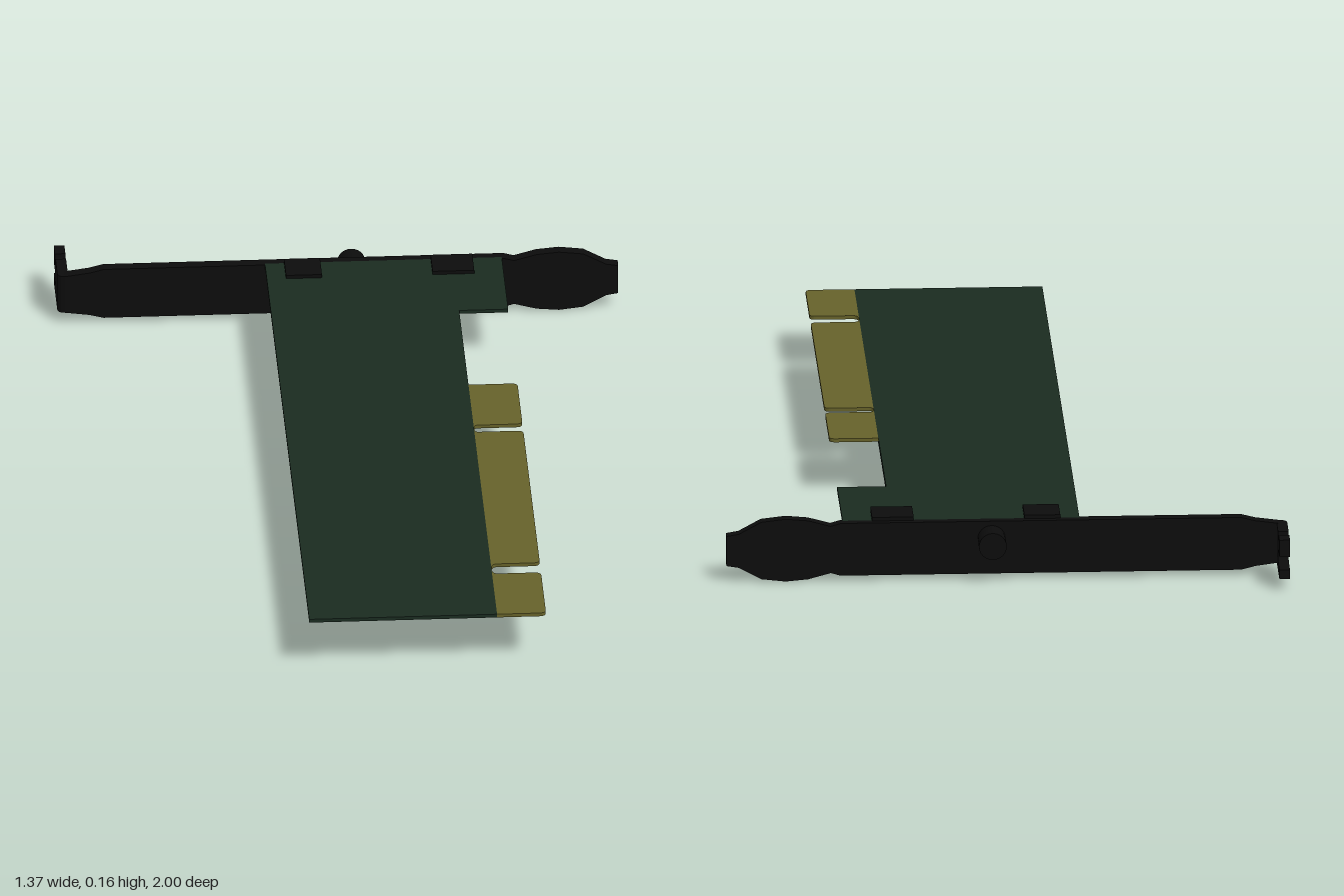
import * as THREE from 'three';

const mat = (color) => new THREE.MeshStandardMaterial({ color });
const black = mat(0x0c0c0c), green = mat(0x1a2b20), gold = mat(0x66622a);

export function createModel() {
  const group = new THREE.Group();

  const add = (name, geometry, material) => {
    const mesh = new THREE.Mesh(geometry, material);
    mesh.name = name;
    group.add(mesh);
    return mesh;
  };

  // Box from its minimum and maximum corners
  const box = (name, material, [x0, y0, z0], [x1, y1, z1]) =>
    add(name, new THREE.BoxGeometry(x1 - x0, y1 - y0, z1 - z0), material)
      .position.set((x0 + x1) / 2, (y0 + y1) / 2, (z0 + z1) / 2);

  // Extruded outline without bevel
  const extrude = (shape, depth) =>
    new THREE.ExtrudeGeometry(shape, { depth, bevelEnabled: false, curveSegments: 6 });
  const polygon = (points) => new THREE.Shape(points.map(([x, y]) => new THREE.Vector2(x, y)));

  // Horizontal sheet: the outline is given as (x, z)
  const sheet = (shape, y0, y1) =>
    extrude(shape, y1 - y0).rotateX(Math.PI / 2).translate(0, y1, 0);

  // Circuit board, wider next to the bracket
  add('circuitBoard', sheet(polygon([
    [-0.18, -0.845], [0.4, -0.845], [0.4, -0.575], [0.28, -0.575], [0.28, 1], [-0.18, 1],
  ]), 0.141, 0.15), green);

  // Thin backing plate under the board
  box('backingPlate', black, [-0.178, 0.135, -0.575], [0.28, 0.141, 0.985]);

  // Edge connector tongues with rounded outer corners
  for (const [z0, z1] of [[-0.19, 0.02], [0.055, 0.74], [0.79, 1]]) {
    const r = 0.016, s = new THREE.Shape();
    s.moveTo(0.28, z0);
    s.lineTo(0.4 - r, z0);
    s.quadraticCurveTo(0.4, z0, 0.4, z0 + r);
    s.lineTo(0.4, z1 - r);
    s.quadraticCurveTo(0.4, z1, 0.4 - r, z1);
    s.lineTo(0.28, z1);
    add('edgeContact', sheet(s, 0.141, 0.15), gold);
  }

  // Rounded roots of the gaps between tongues
  for (const [z0, z1] of [[0.02, 0.055], [0.74, 0.79]]) {
    const r = (z1 - z0) / 2, s = new THREE.Shape();
    s.moveTo(0.28, z0);
    s.lineTo(0.28 + r * 0.6, z0);
    s.quadraticCurveTo(0.28, z0, 0.28, z0 + r);
    s.quadraticCurveTo(0.28, z1, 0.28 + r * 0.6, z1);
    s.lineTo(0.28, z1);
    add('gapFillet', sheet(s, 0.141, 0.15), gold);
  }

  // Mounting bracket: [x, half height] profile mirrored about its centre line
  const profile = [
    [-0.67, 0.05], [-0.61, 0.058], [-0.575, 0.067], [0.405, 0.067], [0.43, 0.06],
    [0.485, 0.075], [0.54, 0.08], [0.6, 0.073], [0.655, 0.043], [0.685, 0.038],
  ];
  const outline = [
    ...profile.map(([x, h]) => [x, 0.083 - h]),
    ...profile.map(([x, h]) => [x, 0.083 + h]).reverse(),
  ];
  add('bracket', extrude(polygon(outline), 0.028).translate(0, 0, -0.866), black);

  // Bend joining bracket and flange, outline in (x, z)
  const bend = new THREE.Shape();
  bend.moveTo(-0.669, -0.838);
  bend.quadraticCurveTo(-0.688, -0.838, -0.688, -0.857);
  bend.lineTo(-0.688, -0.876);
  bend.lineTo(-0.662, -0.876);
  bend.lineTo(-0.662, -0.866);
  bend.lineTo(-0.655, -0.866);
  bend.lineTo(-0.655, -0.838);
  add('bracketBend', sheet(bend, 0.033, 0.133), black);

  // Flange with an open screw slot and a small notch, outline in (-z, y)
  const f = new THREE.Shape();
  f.moveTo(0.87, 0.033);
  f.lineTo(1, 0.033);
  f.lineTo(1, 0.057);
  f.lineTo(0.945, 0.057);
  f.absarc(0.945, 0.0735, 0.0165, -Math.PI / 2, Math.PI / 2, true);
  f.lineTo(1, 0.09);
  f.lineTo(1, 0.133);
  f.lineTo(0.957, 0.133);
  f.lineTo(0.957, 0.125);
  f.absarc(0.944, 0.125, 0.013, 0, Math.PI, true);
  f.lineTo(0.931, 0.133);
  f.lineTo(0.87, 0.133);
  add('flange', extrude(f, 0.026).rotateY(Math.PI / 2).translate(-0.688, 0, 0), black);

  // Coaxial socket: gold body in front, round barrel behind the bracket
  box('socketBody', gold, [-0.018, 0.075, -0.84], [0.093, 0.135, -0.72]);
  box('socketFoot', gold, [-0.018, 0.134, -0.84], [0.093, 0.141, -0.72]);
  add('socketBarrel', new THREE.CylinderGeometry(0.034, 0.034, 0.075, 24).rotateX(Math.PI / 2), black)
    .position.set(0.036, 0.105, -0.8925);

  // Bracket tabs lying on the board
  for (const [x0, x1] of [[-0.133, -0.045], [0.226, 0.328]])
    box('mountingTab', black, [x0, 0.15, -0.85], [x1, 0.159, -0.764]);

  return group;
}
